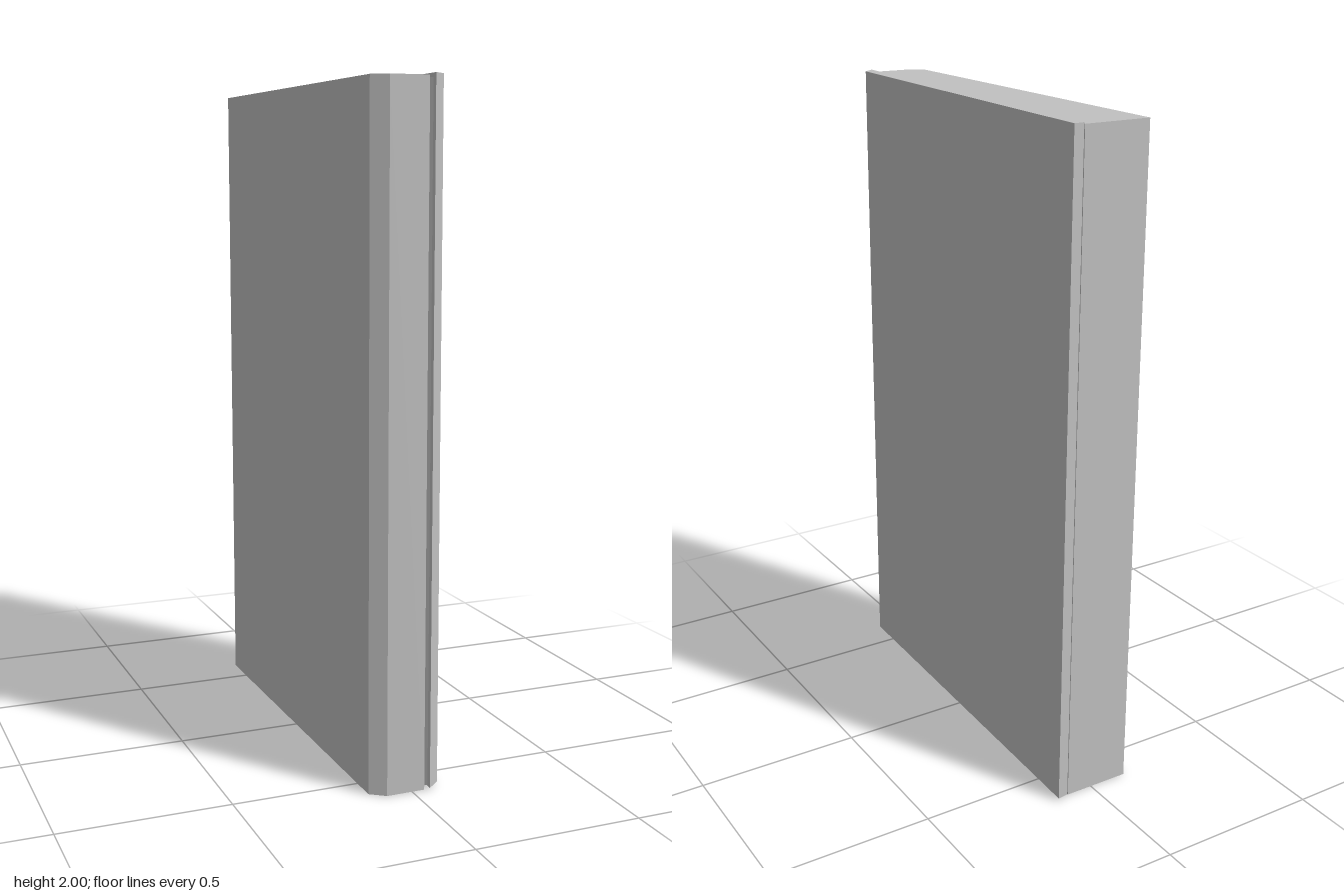
import * as THREE from 'three';

const grey = new THREE.MeshStandardMaterial({ color: 0xc0c0c0 });
grey.name = 'light grey';
const dark = new THREE.MeshStandardMaterial({ color: 0x8a8a8a });
dark.name = 'seal grey';

// Upright prism from a plan outline of [x, z] points
function prism(name, plan, y0, y1, material) {
  const shape = new THREE.Shape(plan.map(([x, z]) => new THREE.Vector2(x, -z)));
  const geometry = new THREE.ExtrudeGeometry(shape, { depth: y1 - y0, bevelEnabled: false });
  geometry.rotateX(-Math.PI / 2).translate(0, y0, 0);
  const mesh = new THREE.Mesh(geometry, material);
  mesh.name = name;
  return mesh;
}

export function createModel() {
  const model = new THREE.Group();
  model.name = 'cabinet';

  // Wedge-shaped cabinet with one chamfered front corner
  model.add(prism('body', [
    [-0.122, -0.615], [0.084, -0.615], [0.038, 0.612], [-0.078, 0.612], [-0.122, 0.58],
  ], 0, 1.994, grey));

  // Recessed strip between cabinet and door
  model.add(prism('seal', [
    [0.083, -0.612], [0.092, -0.612], [0.049, 0.61], [0.037, 0.61],
  ], 0.012, 1.988, dark));

  // Slanted door with a chamfered front edge
  model.add(prism('door', [
    [0.092, -0.623], [0.125, -0.627], [0.088, 0.592], [0.05, 0.624],
  ], 0.008, 2, grey));

  // Very slight lean to the right
  model.rotation.z = 0.0025;
  return model;
}
